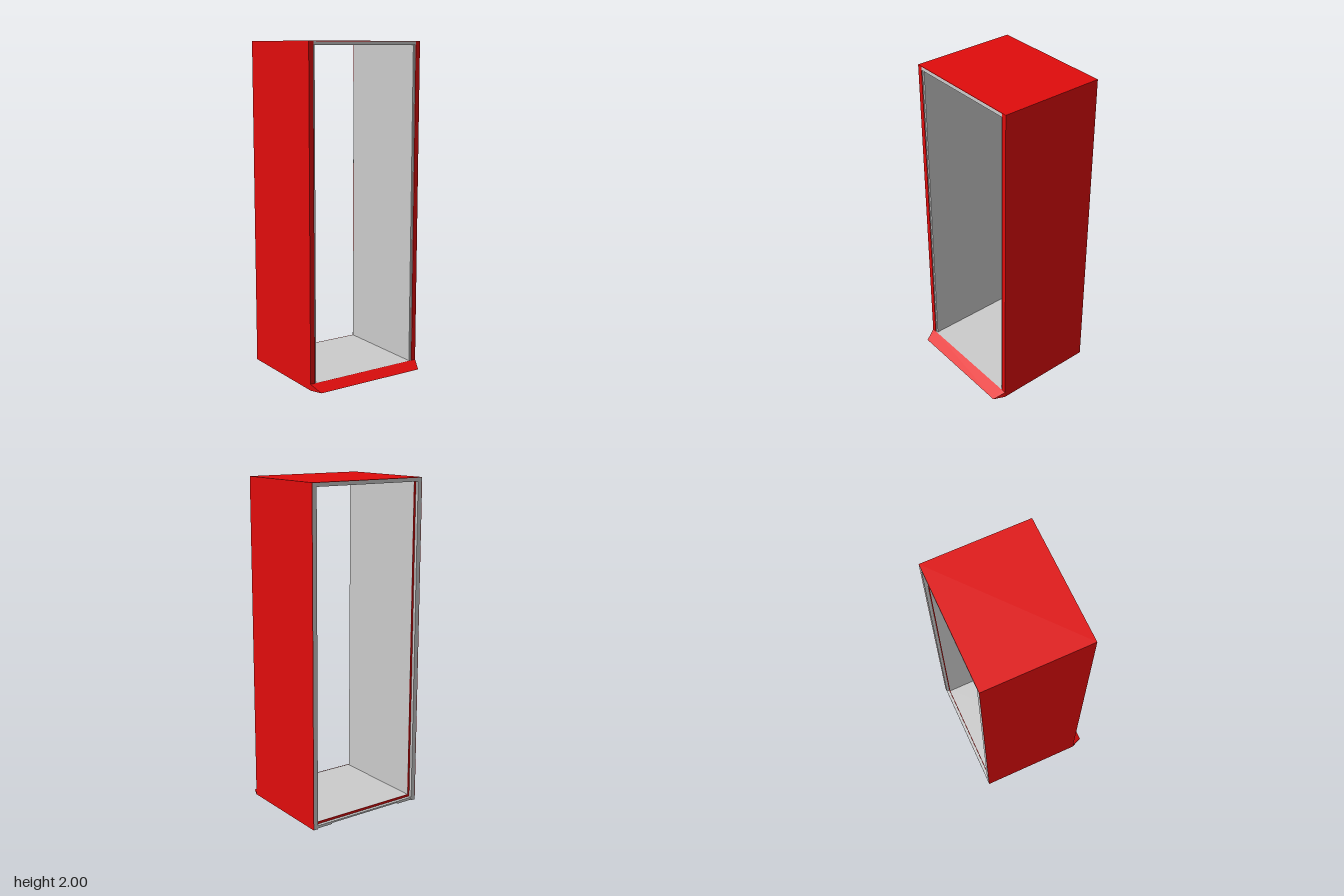
import * as THREE from 'three';

const red = new THREE.MeshStandardMaterial({ color: 0xe00c0c });
const grey = new THREE.MeshStandardMaterial({ color: 0xcccccc });

// Box given by its min and max corners
function box(parent, name, material, [x0, y0, z0], [x1, y1, z1]) {
  const geo = new THREE.BoxGeometry(x1 - x0, y1 - y0, z1 - z0);
  geo.translate((x0 + x1) / 2, (y0 + y1) / 2, (z0 + z1) / 2);
  const mesh = new THREE.Mesh(geo, material);
  mesh.name = name;
  parent.add(mesh);
  return mesh;
}

// Box spanning symmetric corners on one side, mirrored for the other
function sideBox(parent, name, material, s, [x0, y0, z0], [x1, y1, z1]) {
  const a = s > 0 ? x0 : -x1;
  const b = s > 0 ? x1 : -x0;
  return box(parent, name, material, [a, y0, z0], [b, y1, z1]);
}

export function createModel() {
  const model = new THREE.Group();
  model.name = 'openCabinet';

  const W = 0.385, IN = 0.355, LINE = 0.342;
  const BACK = -0.358, FRONT = 0.287, REBATE = -0.336;
  const H = 2, CEIL = 1.976, FLOOR = 0.036, SKIN = 0.003;

  // Side walls: grey core, red outer skin, red front edge, stepped lining
  for (const s of [1, -1]) {
    const wall = new THREE.Group();
    wall.name = s > 0 ? 'leftWall' : 'rightWall';
    model.add(wall);
    sideBox(wall, 'wallCore', grey, s, [IN, 0, BACK], [W - SKIN, H - SKIN, FRONT - SKIN]);
    sideBox(wall, 'wallSkin', red, s, [W - SKIN, 0, BACK], [W, H - SKIN, FRONT - SKIN]);
    sideBox(wall, 'frontEdge', red, s, [IN, 0, FRONT - SKIN], [W, H - SKIN, FRONT]);
    sideBox(wall, 'wallLining', grey, s, [LINE, FLOOR, REBATE], [IN, CEIL, FRONT - 0.008]);
    sideBox(wall, 'rebateEdge', red, s, [LINE, FLOOR, REBATE - SKIN], [IN, CEIL, REBATE]);
  }

  // Roof: grey panel under a red skin
  box(model, 'roofPanel', grey, [-IN, CEIL, BACK], [IN, H - SKIN, FRONT]);
  box(model, 'roofSkin', red, [-W, H - SKIN, BACK], [W, H, FRONT]);

  // Floor with a lower ledge along the back
  box(model, 'floorPanel', grey, [-IN, 0.012, REBATE], [IN, FLOOR, FRONT]);
  box(model, 'floorLedge', grey, [-IN, 0.012, BACK], [IN, 0.022, REBATE]);
  box(model, 'floorRebateEdge', red, [-IN, 0.022, REBATE - SKIN], [IN, FLOOR, REBATE]);

  // Sloped kick ramp: a wedge whose ends taper towards the front
  const ramp = new THREE.BufferGeometry();
  ramp.setAttribute('position', new THREE.Float32BufferAttribute([
    -W, 0, FRONT, W, 0, FRONT,
    -IN, FLOOR + 0.002, FRONT, IN, FLOOR + 0.002, FRONT,
    -W, FLOOR + 0.002, FRONT, W, FLOOR + 0.002, FRONT,
    -IN, 0, 0.357, IN, 0, 0.357,
  ], 3));
  ramp.setIndex([
    2, 6, 7, 2, 7, 3, // slope
    4, 6, 2, 4, 0, 6, // right end
    5, 3, 7, 5, 7, 1, // left end
    0, 1, 7, 0, 7, 6, // underside
    0, 4, 5, 0, 5, 1, // back
  ]);
  const rampGeo = ramp.toNonIndexed();
  rampGeo.computeVertexNormals();
  const rampMesh = new THREE.Mesh(rampGeo, red);
  rampMesh.name = 'kickRamp';
  model.add(rampMesh);

  // L-shaped corner brackets below the floor
  const arm = 0.1, t = 0.025;
  const lShape = new THREE.Shape([
    [0, 0], [arm, 0], [arm, t], [t, t], [t, arm], [0, arm],
  ].map(([x, y]) => new THREE.Vector2(x, y)));
  const bracketGeo = new THREE.ExtrudeGeometry(lShape, { depth: 0.01, bevelEnabled: false });
  bracketGeo.rotateX(Math.PI / 2);
  [[-1, -1], [1, -1], [1, 1], [-1, 1]].forEach(([sx, sz], i) => {
    const bracket = new THREE.Mesh(bracketGeo, grey);
    bracket.name = 'cornerBracket';
    bracket.rotation.y = -i * Math.PI / 2;
    bracket.position.set(sx * 0.35, 0.012, sz > 0 ? FRONT - 0.006 : BACK + 0.006);
    model.add(bracket);
  });

  return model;
}
